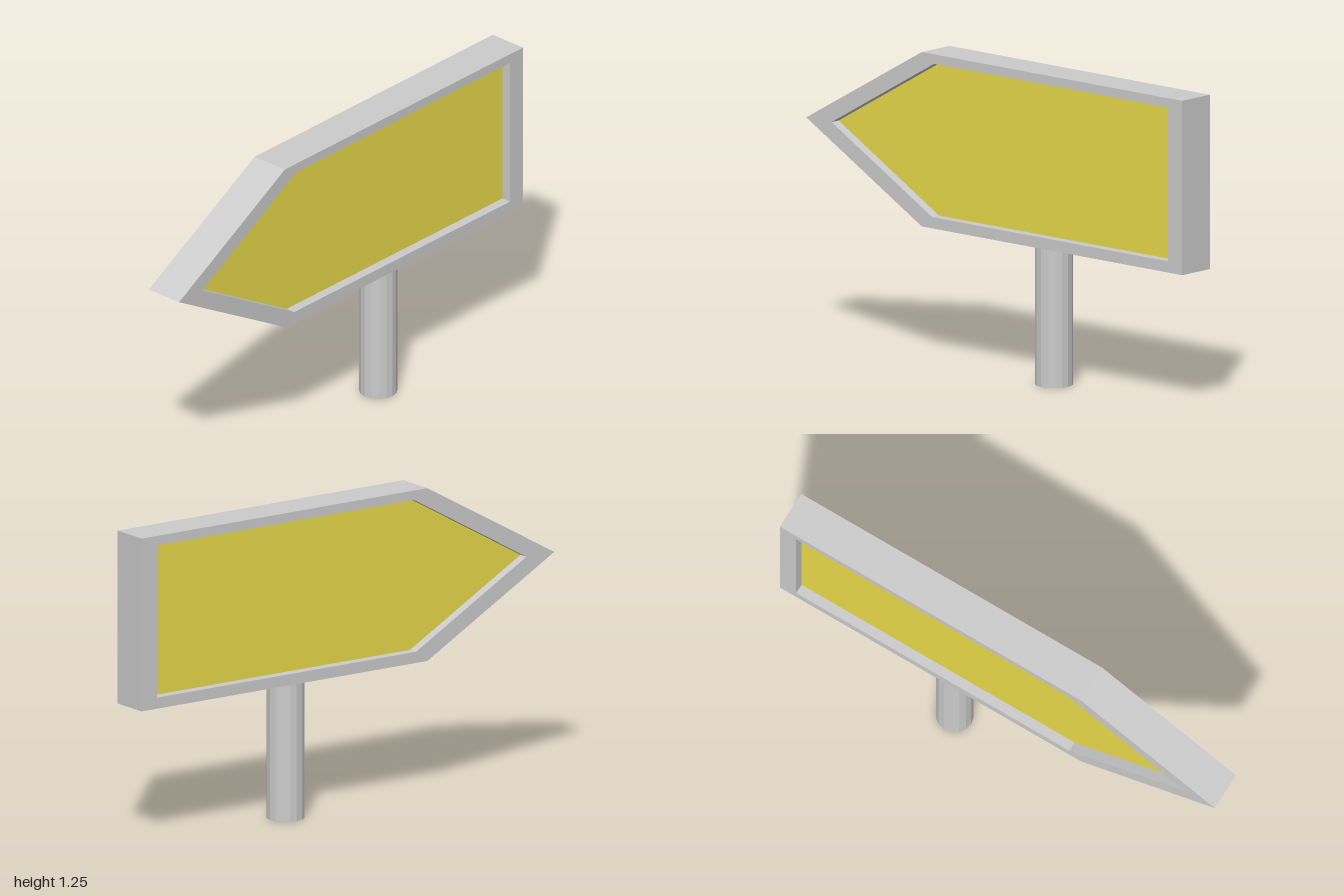
import * as THREE from 'three';

const HALF_DEPTH = 0.08; // frame half thickness
const PANEL_HALF = 0.04; // recessed panel half thickness

// Arrow-shaped outline pointing to -x, counter-clockwise
const arrow = (tip, shoulderTop, shoulderBottom, right, bottom, top) => [
  [tip, 0.905], [shoulderBottom, bottom], [right, bottom], [right, top], [shoulderTop, top],
].map(([x, y]) => new THREE.Vector2(x, y));

function slab(name, shape, half, color) {
  const geometry = new THREE.ExtrudeGeometry(shape, { depth: half * 2, bevelEnabled: false });
  geometry.translate(0, 0, -half);
  const mesh = new THREE.Mesh(geometry, new THREE.MeshStandardMaterial({ color, flatShading: true }));
  mesh.name = name;
  return mesh;
}

export function createModel() {
  const model = new THREE.Group();
  model.name = 'arrowSign';

  const outer = arrow(-1, -0.385, -0.385, 1, 0.555, 1.253);
  const inner = arrow(-0.865, -0.32, -0.33, 0.925, 0.6, 1.215);

  // Frame with an arrow-shaped opening
  const frameShape = new THREE.Shape(outer);
  frameShape.holes.push(new THREE.Path(inner));
  model.add(slab('frame', frameShape, HALF_DEPTH, 0xcccccc));

  // Yellow panel, recessed on both faces
  model.add(slab('panel', new THREE.Shape(inner), PANEL_HALF, 0xe8d94a));

  // Faceted post under the board
  const post = new THREE.Mesh(
    new THREE.CylinderGeometry(0.075, 0.075, 0.557, 16),
    new THREE.MeshStandardMaterial({ color: 0xcccccc, flatShading: true }),
  );
  post.name = 'post';
  post.position.set(0.245, 0.2785, 0);
  model.add(post);

  return model;
}
